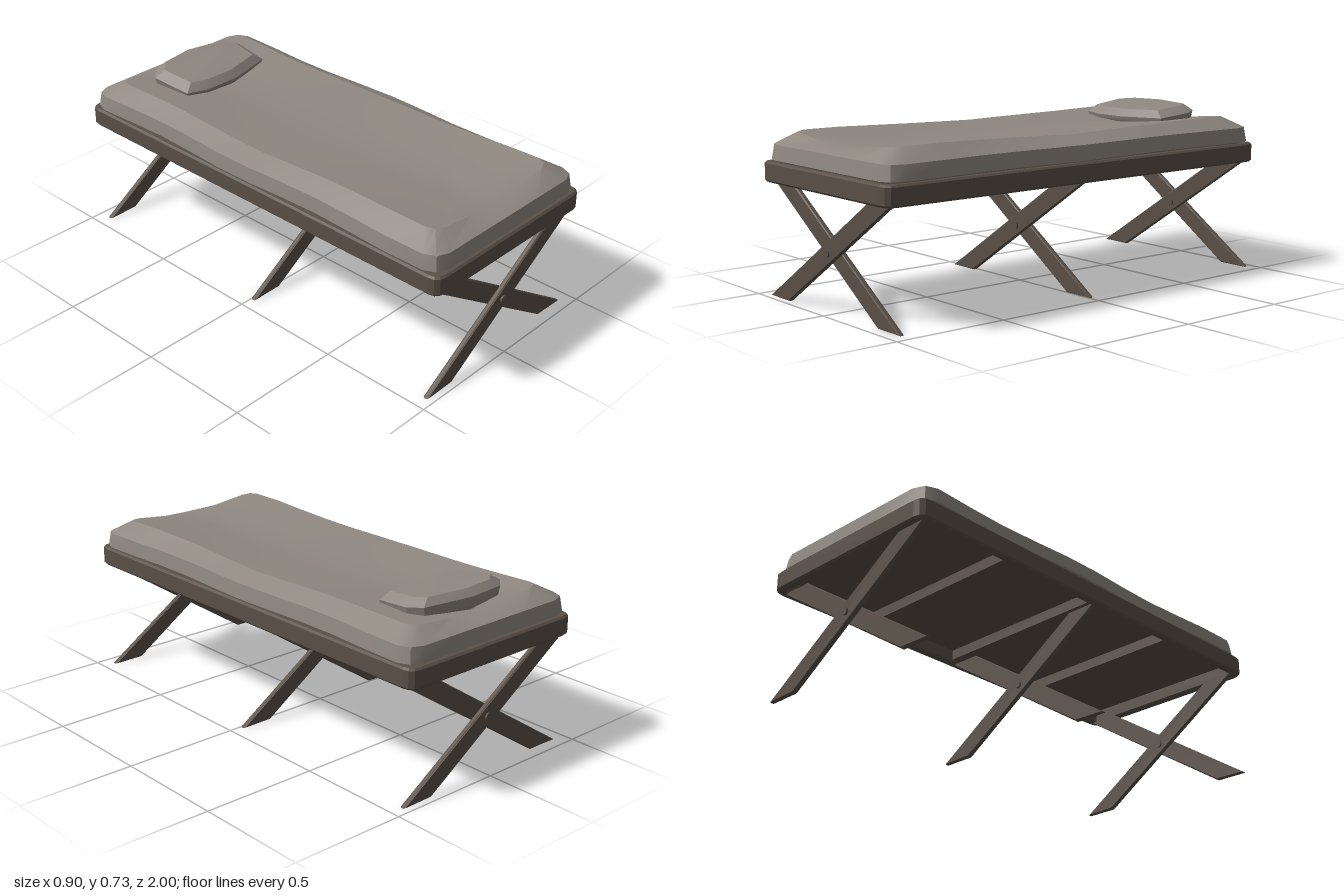
import * as THREE from 'three';
import { toCreasedNormals } from 'three/addons/utils/BufferGeometryUtils.js';

const wood = new THREE.MeshStandardMaterial({ color: 0x5a5047 });
wood.name = 'dark wood';
const cloth = new THREE.MeshStandardMaterial({ color: 0x8f8881 });
cloth.name = 'grey cloth';

function add(parent, name, geometry, material, x = 0, y = 0, z = 0) {
  const mesh = new THREE.Mesh(geometry, material);
  mesh.name = name;
  mesh.position.set(x, y, z);
  parent.add(mesh);
  return mesh;
}

// Points [x, z] around a rounded rectangle with subdivided sides
function roundedRing(a, b, r) {
  const corners = [[1, 1], [-1, 1], [-1, -1], [1, -1]];
  const steps = [4, 10, 4, 10];
  const pts = [];
  corners.forEach(([sx, sz], q) => {
    for (let k = 0; k <= 2; k++) {
      const t = (q + k / 2) * Math.PI / 2;
      pts.push([sx * (a - r) + r * Math.cos(t), sz * (b - r) + r * Math.sin(t)]);
    }
    const [nx, nz] = corners[(q + 1) % 4];
    const t = (q + 1) * Math.PI / 2;
    const ox = r * Math.cos(t), oz = r * Math.sin(t);
    for (let k = 1; k < steps[q]; k++) {
      const f = k / steps[q];
      pts.push([
        THREE.MathUtils.lerp(sx, nx, f) * (a - r) + ox,
        THREE.MathUtils.lerp(sz, nz, f) * (b - r) + oz,
      ]);
    }
  });
  return pts;
}

// Skin over rings of [x, y, z], listed from bottom to top, with capped ends
function loft(rings, crease) {
  const n = rings[0].length, pos = rings.flat(2), idx = [];
  for (let j = 0; j < rings.length - 1; j++) {
    for (let i = 0; i < n; i++) {
      const a = j * n + i, b = j * n + (i + 1) % n;
      idx.push(a, a + n, b, b, a + n, b + n);
    }
  }
  for (const j of [0, rings.length - 1]) {
    const c = pos.length / 3;
    for (let k = 0; k < 3; k++) pos.push(rings[j].reduce((s, p) => s + p[k], 0) / n);
    for (let i = 0; i < n; i++) {
      const a = j * n + i, b = j * n + (i + 1) % n;
      if (j === 0) idx.push(c, a, b);
      else idx.push(c, b, a);
    }
  }
  const g = new THREE.BufferGeometry();
  g.setAttribute('position', new THREE.Float32BufferAttribute(pos, 3));
  g.setIndex(idx);
  return toCreasedNormals(g, crease);
}

// Height of the sagging mattress top
function topHeight(x, z) {
  const lift = z > 0 ? Math.min(1, z / 0.7) : -z * 0.85;
  return 0.652 + (0.018 + 0.019 * lift) * Math.pow(Math.min(1, Math.abs(x) / 0.35), 1.2);
}

function mattressGeometry() {
  const wave = (x, z) => x * (0.985 + 0.02 * Math.cos(7 * z + (x > 0 ? 0 : 0.7)));
  const sides = [[0.42, 0.965, 0.562], [0.443, 0.986, 0.572], [0.434, 0.978, 0.635]];
  const rings = sides.map(([a, b, y]) =>
    roundedRing(a, b, 0.07).map(([x, z]) => [wave(x, z), y, z]));
  for (const [a, b, r] of [[0.35, 0.9, 0.05], [0.25, 0.8, 0.04], [0.12, 0.68, 0.03], [0.004, 0.58, 0.003]]) {
    rings.push(roundedRing(a, b, r).map(([x, z]) => [wave(x, z), topHeight(x, z), z]));
  }
  return loft(rings, 0.45);
}

function pillowGeometry() {
  const outline = [[0.255, -0.77], [0.24, -0.61], [0.03, -0.565], [-0.13, -0.57], [-0.225, -0.6],
    [-0.245, -0.79], [-0.18, -0.85], [0, -0.872], [0.22, -0.83]];
  // Each level: scale, height at the middle, slope towards the head end
  const levels = [[0.9, 0.645, 0], [0.97, 0.665, 0.03], [1, 0.692, 0.1], [0.82, 0.722, 0.1], [0.4, 0.724, 0.06]];
  const rings = levels.map(([s, y, slope]) => outline.map(([x, z]) => {
    const dz = (z + 0.715) * s;
    return [x * s, y - dz * slope, dz - 0.715];
  }));
  return loft(rings, 0.4);
}

// Frame rim: rounded outline with an open middle
function rimGeometry() {
  const shape = new THREE.Shape(), w = 0.45, l = 1, r = 0.05;
  shape.moveTo(w - r, -l);
  shape.quadraticCurveTo(w, -l, w, -l + r);
  shape.lineTo(w, l - r);
  shape.quadraticCurveTo(w, l, w - r, l);
  shape.lineTo(-w + r, l);
  shape.quadraticCurveTo(-w, l, -w, l - r);
  shape.lineTo(-w, -l + r);
  shape.quadraticCurveTo(-w, -l, -w + r, -l);
  const hole = new THREE.Path();
  hole.moveTo(-0.41, -0.96).lineTo(-0.41, 0.96).lineTo(0.41, 0.96).lineTo(0.41, -0.96);
  shape.holes.push(hole);
  const g = new THREE.ExtrudeGeometry(shape, {
    depth: 0.069, curveSegments: 3, bevelThickness: 0.008, bevelSize: 0.008, bevelOffset: -0.008, bevelSegments: 1,
  });
  return g.rotateX(-Math.PI / 2).translate(0, 0.488, 0);
}

// Slanted leg plank; side = 1 rises towards +x, -1 towards -x
function legGeometry(side) {
  const pts = [[-0.445, 0], [-0.3, 0], [0.435, 0.486], [0.29, 0.486]];
  const shape = new THREE.Shape(pts.map(([x, y]) => new THREE.Vector2(x * side, y)));
  return new THREE.ExtrudeGeometry(shape, {
    depth: 0.013, bevelThickness: 0.005, bevelSize: 0.005, bevelOffset: -0.005, bevelSegments: 1,
  }).translate(0, 0, 0.005);
}

export function createModel() {
  const model = new THREE.Group();
  model.name = 'foldingCot';

  // Frame with base board and slats
  const frame = new THREE.Group();
  frame.name = 'frame';
  model.add(frame);
  add(frame, 'rim', rimGeometry(), wood);
  add(frame, 'baseBoard', new THREE.BoxGeometry(0.84, 0.02, 1.94), wood, 0, 0.55, 0);
  for (const z of [-0.5, 0, 0.5]) {
    add(frame, 'slat', new THREE.BoxGeometry(0.84, 0.05, 0.05), wood, 0, 0.52, z);
  }

  // Three pairs of crossed legs with pivot pins
  for (const z of [-0.95, 0, 0.95]) {
    const legs = new THREE.Group();
    legs.name = 'crossedLegs';
    legs.position.z = z;
    model.add(legs);
    add(legs, 'frontLeg', legGeometry(1), wood);
    add(legs, 'backLeg', legGeometry(-1), wood, 0, 0, -0.023);
    const pin = add(legs, 'pivotPin', new THREE.CylinderGeometry(0.016, 0.016, 0.062, 12), wood, 0, 0.245, 0);
    pin.rotation.x = Math.PI / 2;
  }

  // Bedding
  add(model, 'mattress', mattressGeometry(), cloth);
  add(model, 'pillow', pillowGeometry(), cloth);
  return model;
}
